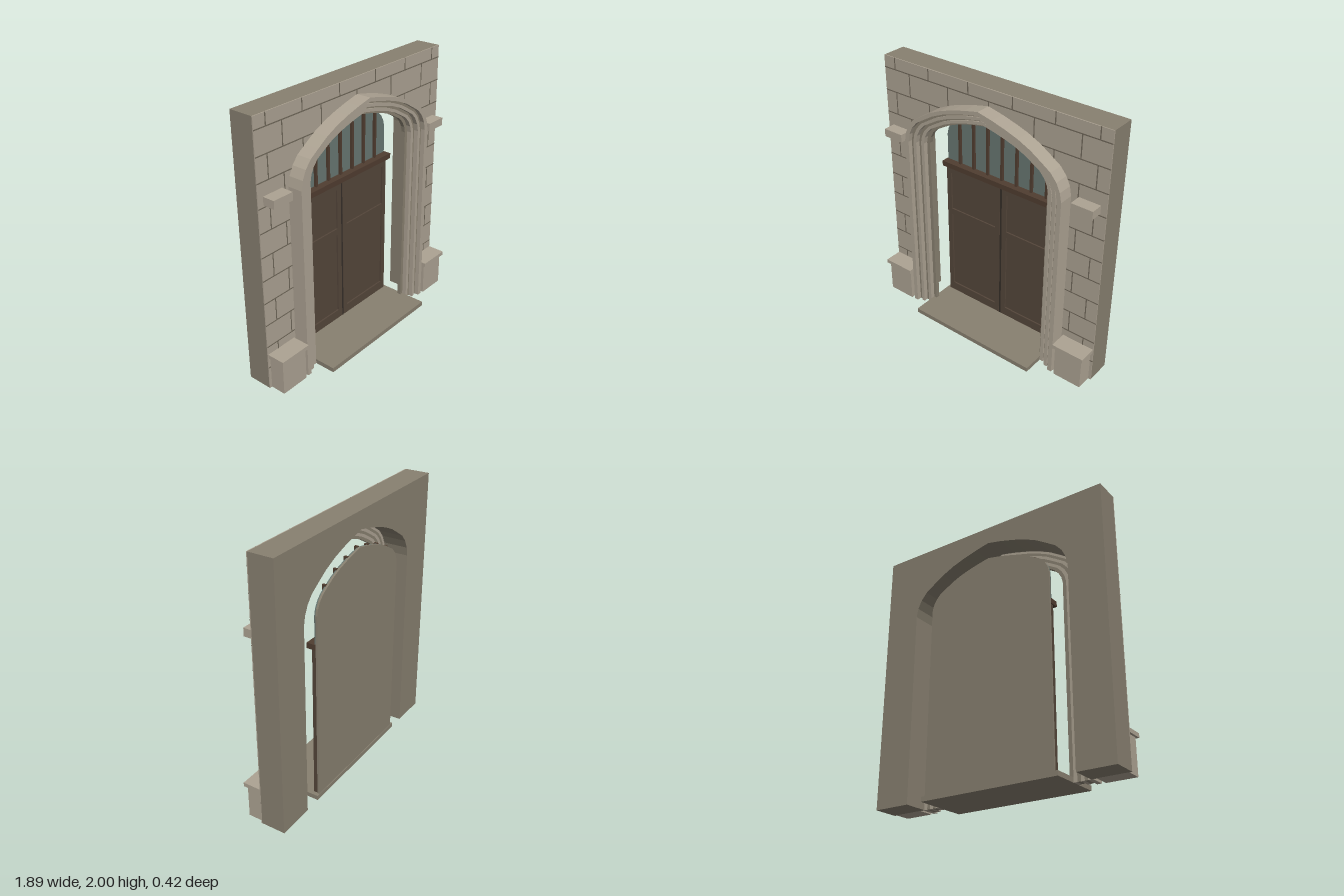
import * as THREE from 'three';

const mat = (name, color) => {
  const m = new THREE.MeshStandardMaterial({ color });
  m.name = name;
  return m;
};

// Half of a depressed pointed arch, from springing (1,0) to apex (0,1)
const PROFILE = [[1, 0], [0.98, 0.16], [0.935, 0.31], [0.865, 0.44], [0.76, 0.55],
  [0.63, 0.68], [0.48, 0.79], [0.33, 0.87], [0.17, 0.94], [0, 1]];
const SPRING = 1.45, INNER = 0.513, OUTER = 0.677;
const rise = (w) => 0.29 + (w - INNER) * 0.84;

// Open outline from the right foot over the apex to the left foot
function archPoints(w, base) {
  const half = PROFILE.map(([u, v]) => new THREE.Vector2(u * w, SPRING + v * rise(w)));
  const left = half.slice(0, -1).reverse().map((p) => new THREE.Vector2(-p.x, p.y));
  return [new THREE.Vector2(w, base), ...half, ...left, new THREE.Vector2(-w, base)];
}

// Arch half width at height y, and arch height at position x
function archX(w, y) {
  if (y <= SPRING) return w;
  const v = (y - SPRING) / rise(w);
  for (let i = 1; i < PROFILE.length; i++) {
    const [u0, v0] = PROFILE[i - 1], [u1, v1] = PROFILE[i];
    if (v <= v1) return w * (u0 + (u1 - u0) * (v - v0) / (v1 - v0));
  }
  return 0;
}
function archY(w, x) {
  const u = Math.abs(x) / w;
  if (u >= 1) return 0;
  for (let i = 1; i < PROFILE.length; i++) {
    const [u0, v0] = PROFILE[i - 1], [u1, v1] = PROFILE[i];
    if (u >= u1) return SPRING + rise(w) * (v0 + (v1 - v0) * (u - u0) / (u1 - u0));
  }
  return 0;
}

export function createModel() {
  const stone = mat('light stone', 0xada393);
  const darkStone = mat('dark stone', 0x888070);
  const mortar = mat('mortar', 0x70685a);
  const wood = mat('door wood', 0x54463a);
  const frameWood = mat('frame wood', 0x503d30);
  const gapDark = mat('dark gap', 0x352e28);
  const glass = mat('glass', 0x687772);

  const root = new THREE.Group();
  root.name = 'archedDoorway';

  const add = (name, geometry, material) => {
    const mesh = new THREE.Mesh(geometry, material);
    mesh.name = name;
    root.add(mesh);
    return mesh;
  };
  const box = (name, m, x0, x1, y0, y1, z0, z1) => {
    const g = new THREE.BoxGeometry(x1 - x0, y1 - y0, z1 - z0);
    g.translate((x0 + x1) / 2, (y0 + y1) / 2, (z0 + z1) / 2);
    return add(name, g, m);
  };
  const slab = (name, m, points, z0, z1, holes = []) => {
    const shape = new THREE.Shape(points);
    holes.forEach((h) => shape.holes.push(new THREE.Path(h)));
    const g = new THREE.ExtrudeGeometry(shape, { depth: z1 - z0, bevelEnabled: false });
    g.translate(0, 0, z0);
    return add(name, g, m);
  };
  const rect = (x0, x1, y0, y1) => [[x0, y0], [x1, y0], [x1, y1], [x0, y1]]
    .map(([x, y]) => new THREE.Vector2(x, y));

  // Wall with arched opening, and its thin stone facing
  const W = 0.945, OPEN = 0.665;
  const wallOutline = [...archPoints(OPEN, 0), new THREE.Vector2(-W, 0),
    new THREE.Vector2(-W, 2), new THREE.Vector2(W, 2), new THREE.Vector2(W, 0)];
  slab('wall', darkStone, wallOutline, -0.21, -0.025);
  slab('stoneFacing', stone, wallOutline, -0.025, -0.018);

  // Mortar joints in running bond, stopped at the arch
  const COURSE = 0.1737, J = 0.004, Z0 = -0.02, Z1 = -0.0165;
  for (let k = 0; k < 12; k++) {
    const y0 = k * COURSE, y1 = Math.min(2, y0 + COURSE);
    if (k > 0) {
      const inner = archX(OPEN, y0);
      if (inner > 0) {
        box('bedJointLeft', mortar, inner, W, y0 - J, y0 + J, Z0, Z1);
        box('bedJointRight', mortar, -W, -inner, y0 - J, y0 + J, Z0, Z1);
      } else {
        box('bedJoint', mortar, -W, W, y0 - J, y0 + J, Z0, Z1);
      }
    }
    const joints = k % 2 ? [-0.845, -0.53, -0.175, 0.195, 0.53, 0.855] : [-0.71, -0.355, 0, 0.37, 0.73];
    for (const x of joints) {
      const start = Math.max(y0, archY(OPEN, x));
      if (start < y1) box('headJoint', mortar, x - J, x + J, start, y1, Z0, Z1);
    }
  }

  // Stepped arch mouldings, alternating light rolls and dark recesses
  const edges = [OUTER, 0.643, 0.619, 0.592, 0.567, 0.54, INNER];
  const fronts = [0.095, 0.06, 0.07, 0.035, 0.045, 0.01];
  fronts.forEach((z, i) => {
    const outline = [...archPoints(edges[i], 0), ...archPoints(edges[i + 1], 0).reverse()];
    slab(i % 2 ? 'archRecess' : 'archMoulding', i % 2 ? darkStone : stone, outline, -0.02, z);
  });

  // Plinths, caps and small brackets on both sides
  for (const s of [-1, 1]) {
    const side = (name, a, b, y0, y1, z1) =>
      box(name, stone, Math.min(s * a, s * b), Math.max(s * a, s * b), y0, y1, -0.02, z1);
    side('plinth', 0.703, 0.925, 0, 0.255, 0.1);
    side('plinthCap', 0.69, 0.942, 0.255, 0.285, 0.12);
    side('bracket', 0.735, 0.9, 1.405, 1.465, 0.075);
  }

  // Threshold step and backing panel
  box('step', darkStone, -0.54, 0.54, 0, 0.035, -0.21, 0.208);
  slab('backPanel', darkStone, archPoints(INNER, 0.035), -0.205, -0.19);

  // Fanlight glass with glazing bars
  slab('fanlightGlass', glass, archPoints(INNER, 1.22), -0.19, -0.182);
  for (let i = -3; i <= 3; i++) {
    const x = i * 0.1285;
    box('glazingBar', frameWood, x - 0.009, x + 0.009, 1.22, archY(INNER, x) + 0.005, -0.19, -0.162);
  }
  box('transom', frameWood, -0.52, 0.52, 1.205, 1.245, -0.19, -0.125);

  // Two door leaves with recessed panels
  const panels = [[0.11, 0.775], [0.825, 1.14]];
  for (const s of [-1, 1]) {
    const span = (a, b) => (s > 0 ? [a, b] : [-b, -a]);
    slab('doorLeaf', wood, rect(...span(0.009, 0.513), 0.04, 1.205), -0.182, -0.162,
      panels.map(([a, b]) => rect(...span(0.05, 0.473), a, b)));
    box('doorPanels', wood, ...span(0.009, 0.513), 0.04, 1.205, -0.19, -0.174);
  }
  box('doorGap', gapDark, -0.009, 0.009, 0.035, 1.205, -0.19, -0.165);

  return root;
}
